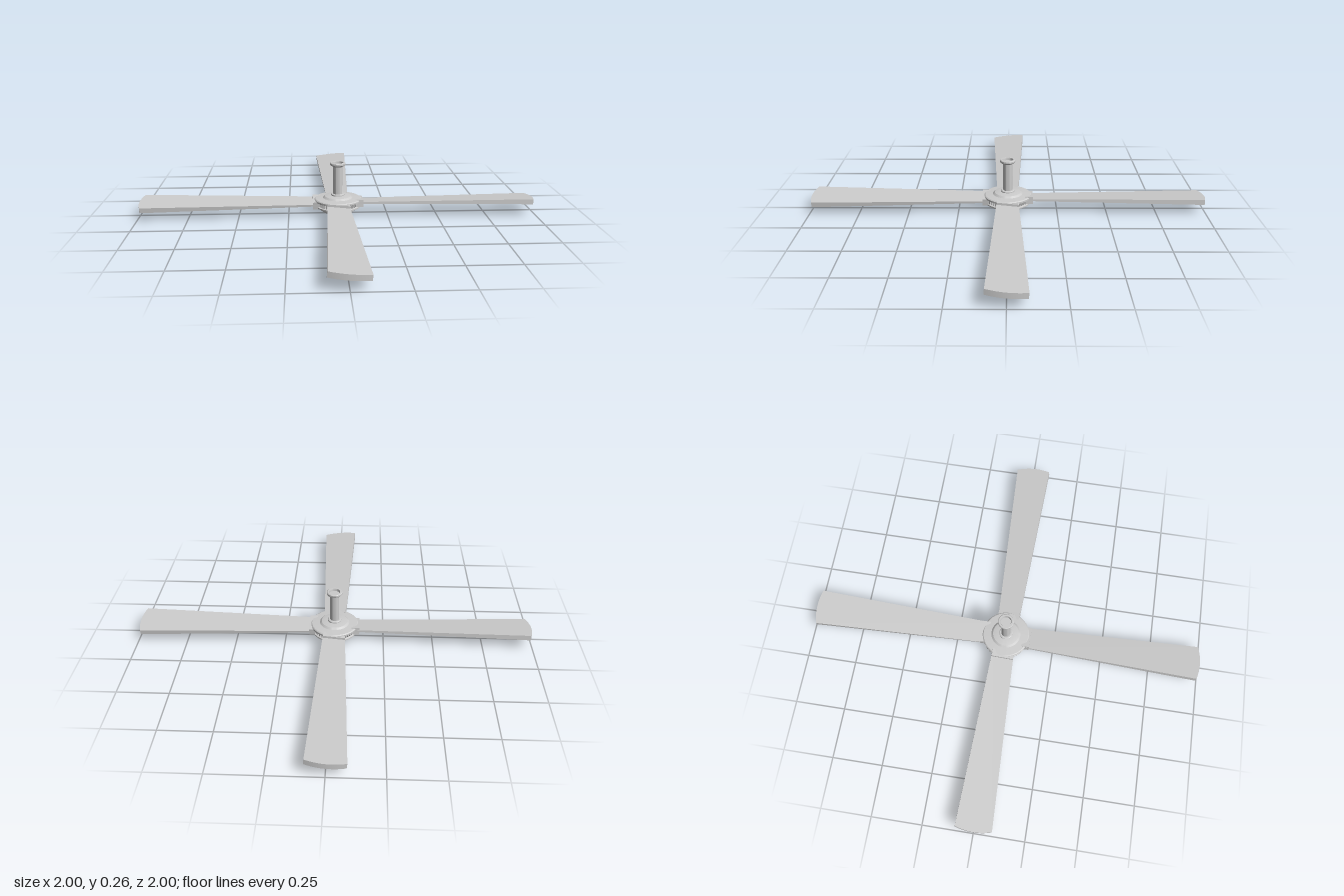
import * as THREE from 'three';
import { toCreasedNormals } from 'three/addons/utils/BufferGeometryUtils.js';

const material = new THREE.MeshStandardMaterial({ color: 0xcccccc, side: THREE.DoubleSide });

function addMesh(parent, name, geometry) {
  const mesh = new THREE.Mesh(geometry, material);
  mesh.name = name;
  parent.add(mesh);
  return mesh;
}

// Turned part from [radius, height] pairs, listed from bottom to top
function turned(points) {
  const profile = points.map(([r, y]) => new THREE.Vector2(r, y));
  return toCreasedNormals(new THREE.LatheGeometry(profile, 48), 0.5);
}

// Flaring paddle along +x, thicker towards its rounded tip
function bladeGeometry() {
  const shape = new THREE.Shape();
  shape.moveTo(0.09, -0.055);
  shape.lineTo(0.985, -0.089);
  shape.quadraticCurveTo(1.013, 0, 0.985, 0.089);
  shape.lineTo(0.09, 0.055);
  shape.closePath();
  const geometry = new THREE.ExtrudeGeometry(shape, { depth: 1, bevelEnabled: false, curveSegments: 10 });
  geometry.translate(0, 0, -0.5);
  geometry.rotateX(-Math.PI / 2);
  const pos = geometry.attributes.position;
  for (let i = 0; i < pos.count; i++) {
    const t = (pos.getX(i) - 0.09) / 0.91;
    pos.setY(i, pos.getY(i) * THREE.MathUtils.lerp(0.009, 0.026, t));
  }
  // Pitch raises the +z edge
  geometry.rotateX(-0.1);
  return toCreasedNormals(geometry, 0.5);
}

export function createModel() {
  const model = new THREE.Group();
  model.name = 'ceilingFan';

  // Shallow bowl under the motor
  addMesh(model, 'bottomCap', turned([
    [0, 0], [0.03, 0.001], [0.055, 0.005], [0.075, 0.011], [0.086, 0.018],
    [0.088, 0.022], [0.088, 0.026], [0.1, 0.03], [0.1, 0.036], [0, 0.036],
  ]));

  // Motor: lower plate, recessed core and upper plate
  addMesh(model, 'lowerPlate', turned([
    [0, 0.034], [0.108, 0.034], [0.116, 0.038], [0.116, 0.044], [0.11, 0.047], [0, 0.047],
  ]));
  addMesh(model, 'motorCore', turned([[0.092, 0.046], [0.092, 0.068]]));
  addMesh(model, 'upperPlate', turned([
    [0, 0.065], [0.114, 0.065], [0.12, 0.068], [0.12, 0.076], [0.115, 0.08],
    [0.075, 0.083], [0.066, 0.091], [0.045, 0.095], [0, 0.095],
  ]));

  // Cooling fins around the core
  const finGeometry = new THREE.BoxGeometry(0.02, 0.022, 0.006);
  const fins = new THREE.Group();
  fins.name = 'coolingFins';
  model.add(fins);
  for (let i = 0; i < 48; i++) {
    const a = (i + 0.5) * Math.PI / 24;
    const fin = addMesh(fins, 'fin', finGeometry);
    fin.position.set(0.1 * Math.cos(a), 0.056, -0.1 * Math.sin(a));
    fin.rotation.y = a;
  }

  // Four blades with their root clamps
  const blade = bladeGeometry();
  const clamp = new THREE.BoxGeometry(0.04, 0.036, 0.11);
  for (let i = 0; i < 4; i++) {
    const arm = new THREE.Group();
    arm.name = 'bladeArm';
    arm.position.y = 0.061;
    arm.rotation.y = i * Math.PI / 2;
    model.add(arm);
    addMesh(arm, 'blade', blade);
    const block = addMesh(arm, 'bladeClamp', clamp);
    block.position.set(0.107, -0.002, 0);
    block.rotation.x = -0.1;
  }

  // Hanging rod with a collar at its foot
  addMesh(model, 'rodCollar', turned([[0.034, 0.093], [0.034, 0.1], [0.03, 0.103], [0.023, 0.103]]));
  addMesh(model, 'rod', turned([[0.023, 0.09], [0.023, 0.25]]));

  // Ceiling flange, hollow at the top
  addMesh(model, 'ceilingFlange', turned([
    [0.022, 0.242], [0.026, 0.246], [0.036, 0.25], [0.039, 0.254], [0.039, 0.262],
    [0.036, 0.265], [0.028, 0.265], [0.026, 0.26], [0.026, 0.252], [0, 0.252],
  ]));

  return model;
}
